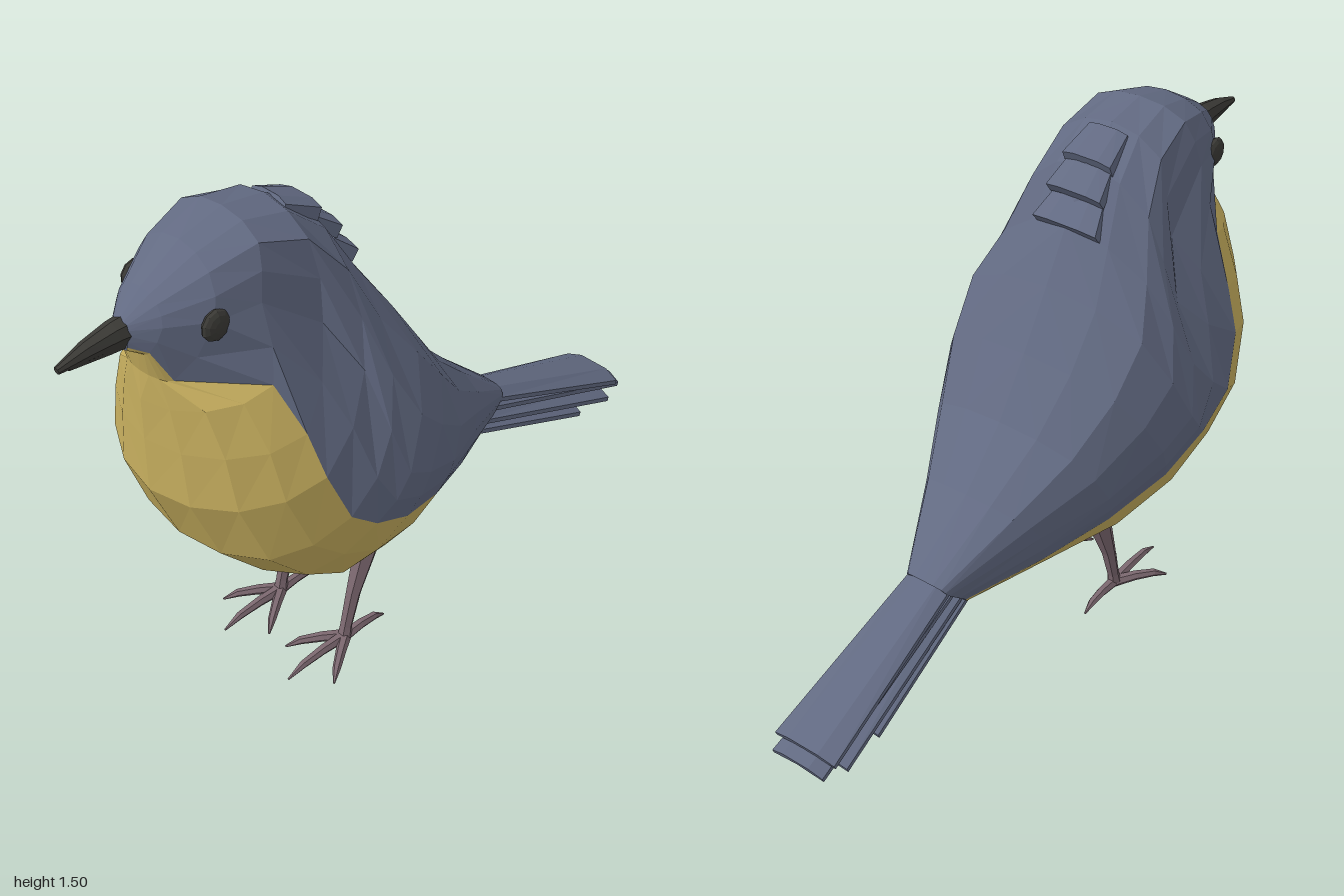
import * as THREE from 'three';

const V = (x, y, z) => new THREE.Vector3(x, y, z);

const slate = new THREE.MeshStandardMaterial({ color: 0x626a82 });
slate.name = 'slate plumage';
const yellow = new THREE.MeshStandardMaterial({ color: 0xc6ae5e });
yellow.name = 'yellow breast';
const legPink = new THREE.MeshStandardMaterial({ color: 0x7c6870 });
legPink.name = 'leg pink';
const charcoal = new THREE.MeshStandardMaterial({ color: 0x3b3a36 });
charcoal.name = 'charcoal';

// Faceted skin over closed rings, capped at both ends; pick(column) chooses the material index
function loft(name, rings, materials, pick = () => 0) {
  const faces = [[], []];
  const n = rings[0].length;
  for (let i = 0; i < rings.length - 1; i++) {
    for (let j = 0; j < n; j++) {
      const k = (j + 1) % n;
      const a = rings[i][j], b = rings[i][k], c = rings[i + 1][j], d = rings[i + 1][k];
      // mirrored diagonals keep the two sides alike
      faces[pick(j)].push(...(j < n / 2 ? [a, c, b, b, c, d] : [a, c, d, a, d, b]));
    }
  }
  const middle = (ring) => ring.reduce((sum, p) => sum.add(p), V(0, 0, 0)).divideScalar(n);
  const first = rings[0], last = rings[rings.length - 1];
  const m0 = middle(first), m1 = middle(last);
  for (let j = 0; j < n; j++) {
    const k = (j + 1) % n;
    faces[0].push(m0, first[j], first[k], m1, last[k], last[j]);
  }
  const geometry = new THREE.BufferGeometry().setFromPoints([...faces[0], ...faces[1]]);
  geometry.addGroup(0, faces[0].length, 0);
  if (faces[1].length) geometry.addGroup(faces[0].length, faces[1].length, 1);
  geometry.computeVertexNormals();
  const mesh = new THREE.Mesh(geometry, materials);
  mesh.name = name;
  return mesh;
}

// Tapered limb through points, with one radius per point
function limb(name, points, radii, sides, material) {
  const rings = points.map((p, i) => {
    const t = points[Math.min(i + 1, points.length - 1)].clone()
      .sub(points[Math.max(i - 1, 0)]).normalize();
    const u = t.clone().cross(Math.abs(t.y) > 0.8 ? V(0, 0, 1) : V(0, 1, 0)).normalize();
    const v = u.clone().cross(t);
    return Array.from({ length: sides }, (_, j) => {
      const a = (j / sides) * Math.PI * 2;
      return p.clone().addScaledVector(u, radii[i] * Math.cos(a)).addScaledVector(v, radii[i] * Math.sin(a));
    });
  });
  return loft(name, rings, [material]);
}

// Arched feather plate running backwards; ends are [z, y, halfWidth] along the top centre line
function plate(name, start, end, thick, drop) {
  const dz = end[0] - start[0], dy = end[1] - start[1], len = Math.hypot(dz, dy);
  const ny = -dz / len, nz = dy / len;
  const section = ([z, y, w]) => [
    [-w, -thick - drop], [-w * 0.5, -thick], [w * 0.5, -thick], [w, -thick - drop],
    [w, -drop], [w * 0.5, 0], [-w * 0.5, 0], [-w, -drop],
  ].map(([x, h]) => V(x, y + ny * h, z + nz * h));
  return loft(name, [section(start), section(end)], [slate]);
}

// Body rings from beak to rump: back [y,z], side [x,y,z], colour edge [x,y,z], belly [y,z],
// then the fullness of the upper and the lower curve
const bodyRings = [
  [[1.33, 0.82], [0.03, 1.30, 0.82], [0.025, 1.265, 0.82], [1.25, 0.82], 0.75, 0.75],
  [[1.39, 0.75], [0.085, 1.32, 0.76], [0.06, 1.25, 0.785], [1.235, 0.79], 0.72, 0.72],
  [[1.465, 0.63], [0.15, 1.32, 0.66], [0.085, 1.16, 0.74], [1.165, 0.775], 0.75, 0.7],
  [[1.50, 0.50], [0.178, 1.33, 0.54], [0.23, 1.13, 0.56], [1.08, 0.78], 0.78, 0.7],
  [[1.48, 0.37], [0.2, 1.2, 0.37], [0.3, 1.0, 0.52], [0.96, 0.78], 0.78, 0.7],
  [[1.41, 0.26], [0.27, 1.06, 0.3], [0.345, 0.88, 0.5], [0.8, 0.78], 0.69, 0.7],
  [[1.27, 0.17], [0.345, 0.9, 0.28], [0.367, 0.73, 0.44], [0.61, 0.70], 0.67, 0.73],
  [[1.12, 0.08], [0.375, 0.76, 0.24], [0.355, 0.64, 0.34], [0.46, 0.56], 0.74, 0.74],
  [[0.96, -0.02], [0.35, 0.69, 0.14], [0.325, 0.56, 0.2], [0.355, 0.41], 0.76, 0.75],
  [[0.8, -0.13], [0.285, 0.6, -0.02], [0.26, 0.49, 0.02], [0.315, 0.2], 0.76, 0.78],
  [[0.65, -0.28], [0.19, 0.54, -0.2], [0.175, 0.435, -0.17], [0.335, 0], 0.76, 0.76],
  [[0.48, -0.47], [0.07, 0.45, -0.45], [0.07, 0.385, -0.38], [0.355, -0.37], 0.8, 0.8],
];

function makeBody() {
  const rings = bodyRings.map(([back, side, edge, belly, upper, lower]) => {
    // rounded shoulder of the section between a flank point and the centre line
    const round = ([x, y, z], [cy, cz], f) => V(x * f, y + (cy - y) * f, z + (cz - z) * f);
    const flank = [round(edge, belly, lower), V(...edge), V(...side), round(side, back, upper)];
    const mirrored = flank.map((p) => V(-p.x, p.y, p.z)).reverse();
    const curve = new THREE.CatmullRomCurve3(
      [V(0, ...belly), ...flank, V(0, ...back), ...mirrored], true);
    return Array.from({ length: 20 }, (_, j) => curve.getPoint(j / 20));
  });
  return loft('body', rings, [slate, yellow], (j) => (j < 4 || j >= 16 ? 1 : 0));
}

export function createModel() {
  const bird = new THREE.Group();
  bird.name = 'bird';
  bird.add(makeBody());

  // Ruffled feather steps on the nape
  [
    [[0.35, 1.474, 0.06], [0.248, 1.428, 0.075]],
    [[0.26, 1.405, 0.07], [0.188, 1.355, 0.085]],
    [[0.21, 1.325, 0.08], [0.148, 1.275, 0.1]],
  ].forEach(([a, b]) => bird.add(plate('napeFeather', a, b, 0.035, 0.01)));

  // Layered tail feathers
  [
    [[-0.42, 0.49, 0.065], [-0.97, 0.285, 0.1]],
    [[-0.40, 0.462, 0.06], [-1.0, 0.255, 0.085]],
    [[-0.38, 0.43, 0.065], [-0.93, 0.243, 0.105]],
    [[-0.36, 0.405, 0.065], [-0.8, 0.252, 0.1]],
  ].forEach(([a, b]) => bird.add(plate('tailFeather', a, b, 0.014, 0.018)));

  // Beak, upper and lower halves
  const upper = limb('upperBeak', [V(0, 1.298, 0.76), V(0, 1.3, 0.84), V(0, 1.293, 0.92), V(0, 1.279, 1.0)],
    [0.042, 0.034, 0.024, 0.01], 8, charcoal);
  const lower = limb('lowerBeak', [V(0, 1.278, 0.76), V(0, 1.276, 0.86), V(0, 1.273, 0.97)],
    [0.03, 0.022, 0.009], 8, charcoal);
  bird.add(upper, lower);

  for (const s of [-1, 1]) {
    const side = s > 0 ? 'left' : 'right';

    // Eye
    const eyeShape = new THREE.SphereGeometry(0.043, 10, 8).rotateZ(Math.PI / 2).toNonIndexed();
    eyeShape.computeVertexNormals();
    const eye = new THREE.Mesh(eyeShape, charcoal);
    eye.name = side + 'Eye';
    eye.scale.x = 0.45;
    eye.position.set(s * 0.148, 1.31, 0.655);
    bird.add(eye);

    // Leg with three front toes and one hind toe
    const leg = new THREE.Group();
    leg.name = side + 'Leg';
    leg.add(limb('shank', [V(s * 0.135, 0.37, 0.15), V(s * 0.135, 0.3, 0.17), V(s * 0.135, 0.17, 0.217),
      V(s * 0.135, 0.06, 0.247), V(s * 0.135, 0.018, 0.255)], [0.042, 0.034, 0.022, 0.018, 0.022], 6, legPink));
    for (const [dx, tipZ] of [[0, 0.47], [0.1, 0.39], [-0.1, 0.39], [0, 0.1]]) {
      const x = s * 0.135, dz = tipZ - 0.25;
      leg.add(limb('toe', [V(x, 0.022, 0.25), V(x + dx * 0.4, 0.026, 0.25 + dz * 0.4),
        V(x + dx * 0.75, 0.021, 0.25 + dz * 0.75), V(x + dx, 0.003, tipZ)],
      [0.018, 0.015, 0.012, 0.003], 6, legPink));
    }
    bird.add(leg);
  }
  return bird;
}
